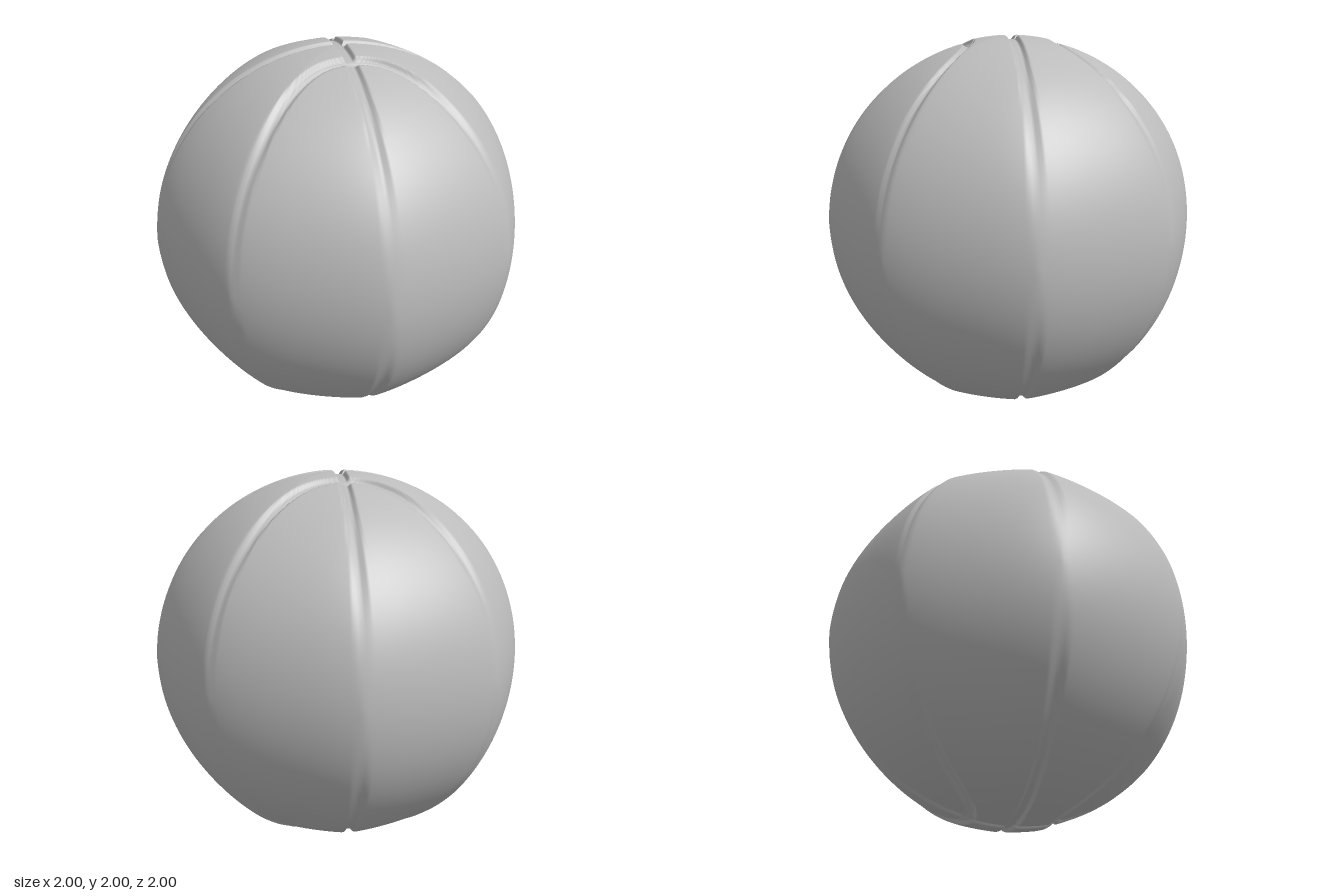
import * as THREE from 'three';
import { mergeVertices } from 'three/addons/utils/BufferGeometryUtils.js';

const { smoothstep } = THREE.MathUtils;
const BOW = 0.23; // distance of the curved seams from the pole

// Signed distance to the two bowed seams (positive on the outer panels)
function bowedSeam(d) {
  const ax = Math.abs(d.x), az = Math.abs(d.z);
  const bow = Math.cbrt(ax ** 3 + BOW ** 3);
  const gx = -((ax / bow) ** 2), gz = 1;
  const along = gx * ax + gz * az; // remove the part of the gradient that leaves the sphere
  const slope = Math.sqrt(Math.max(gx * gx + gz * gz - along * along, 0.05));
  return (az - bow) / slope;
}

// Radius of the ball in direction d: eight panels with seams pressed in near the poles
function ballRadius(d) {
  const high = Math.abs(d.y);
  const level = 1 - d.y * d.y;
  const bowed = bowedSeam(d);
  const flat = 0.037 * Math.abs(Math.sin(4 * Math.atan2(d.z, d.x))) * level;
  const step = 0.01 * smoothstep(bowed, -0.01, 0.01) * smoothstep(high, 0.3, 0.95);
  const dist = Math.min(Math.abs(d.x), Math.abs(d.z), Math.abs(bowed));
  const width = 0.022 + 0.012 * high;
  const groove = 1 - smoothstep(dist, width * 0.5, width);
  return 1 - flat - step - 0.024 * high * groove;
}

export function createModel() {
  const group = new THREE.Group();
  group.name = 'ball';
  const grey = new THREE.MeshStandardMaterial({ color: 0xbcbcbc });
  grey.name = 'grey';

  let geo = new THREE.SphereGeometry(1, 320, 220);
  geo.deleteAttribute('uv');
  geo.deleteAttribute('normal');
  geo = mergeVertices(geo, 1e-5);
  const pos = geo.attributes.position;
  const d = new THREE.Vector3();
  for (let i = 0; i < pos.count; i++) {
    d.fromBufferAttribute(pos, i);
    // crowd the rows toward the poles, where the seams are deepest
    const polar = Math.acos(THREE.MathUtils.clamp(d.y, -1, 1));
    const azimuth = Math.atan2(d.x, d.z);
    d.setFromSphericalCoords(1, polar - 0.25 * Math.sin(2 * polar), azimuth);
    d.multiplyScalar(ballRadius(d));
    pos.setXYZ(i, d.x, d.y + 1, d.z);
  }
  geo.computeVertexNormals();

  const shell = new THREE.Mesh(geo, grey);
  shell.name = 'seamedShell';
  group.add(shell);
  return group;
}
